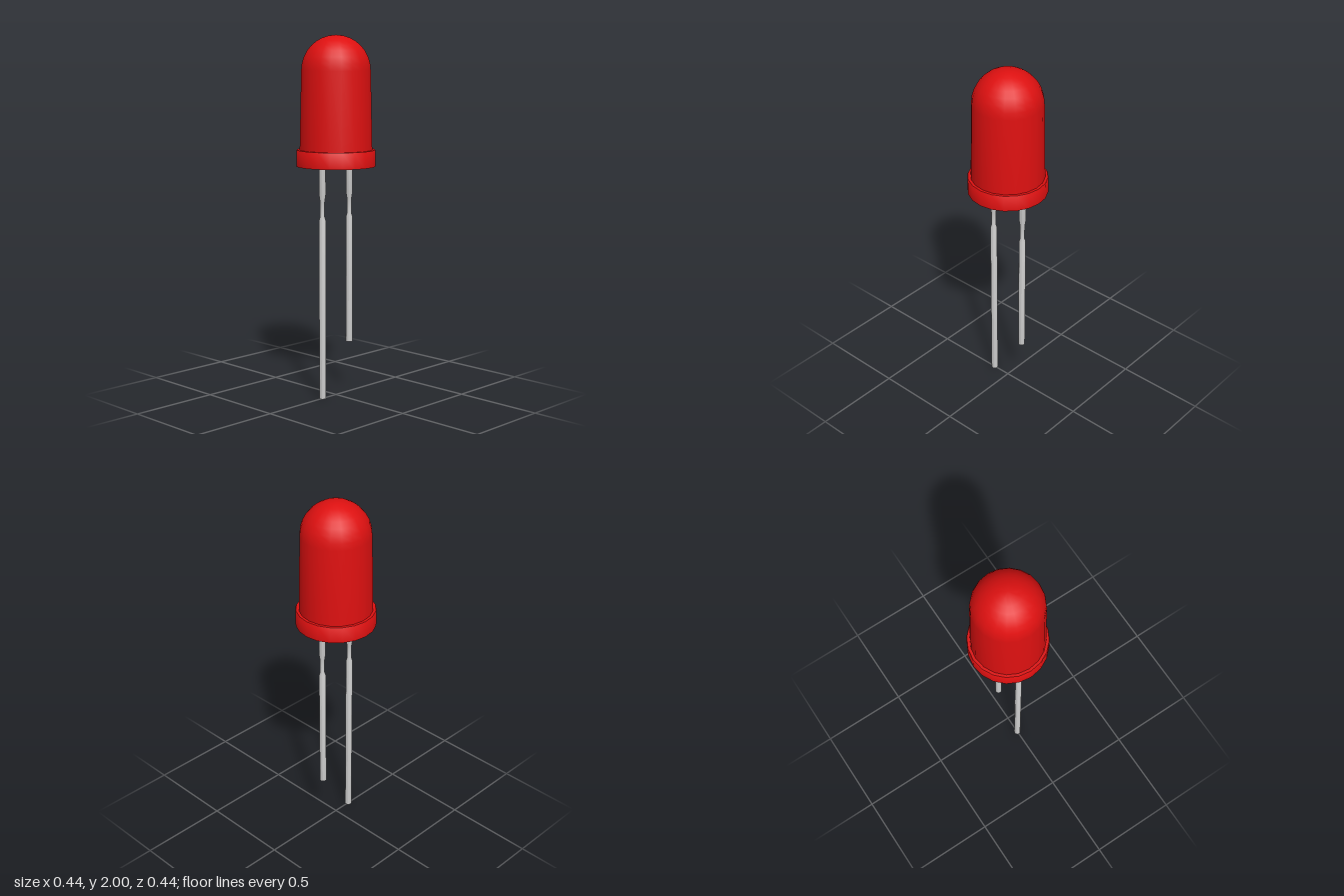
import * as THREE from 'three';
import { toCreasedNormals } from 'three/addons/utils/BufferGeometryUtils.js';

// Revolves a bottom-to-top [radius, y] profile, keeping hard edges sharp
function turned(name, profile, sides, material) {
  const points = profile.map(([r, y]) => new THREE.Vector2(r, y));
  const geometry = toCreasedNormals(new THREE.LatheGeometry(points, sides), 0.7);
  const mesh = new THREE.Mesh(geometry, material);
  mesh.name = name;
  return mesh;
}

export function createModel() {
  const model = new THREE.Group();
  model.name = 'lightEmittingDiode';

  const red = new THREE.MeshStandardMaterial({ color: 0xdd1010 });
  red.name = 'red plastic';
  const metal = new THREE.MeshStandardMaterial({ color: 0xcccccc });
  metal.name = 'silver metal';

  const base = 1.29;
  const rimTop = 1.38;

  // Flange at the foot of the lens
  model.add(turned('flange', [
    [0, base], [0.218, base], [0.218, rimTop - 0.005], [0.215, rimTop], [0.19, rimTop],
  ], 20, red));

  // Slightly tapered lens closed by a round dome
  const lens = [[0.2, rimTop - 0.01]];
  const domeRadius = 0.19;
  const steps = 8;
  for (let i = 0; i <= steps; i++) {
    const a = (i / steps) * Math.PI / 2;
    lens.push([i === steps ? 0 : domeRadius * Math.cos(a), 2 - domeRadius + domeRadius * Math.sin(a)]);
  }
  model.add(turned('lens', lens, 20, red));

  // Two wire leads, each with a narrowed neck below the flange
  const leads = [['longLead', -0.105, 0], ['shortLead', 0.105, 0.29]];
  for (const [name, x, bottom] of leads) {
    const lead = turned(name, [
      [0, bottom], [0.019, bottom], [0.019, 1.0], [0.013, 1.02],
      [0.013, 1.1], [0.019, 1.14], [0.019, base + 0.01],
    ], 12, metal);
    lead.position.x = x;
    model.add(lead);
  }

  return model;
}
